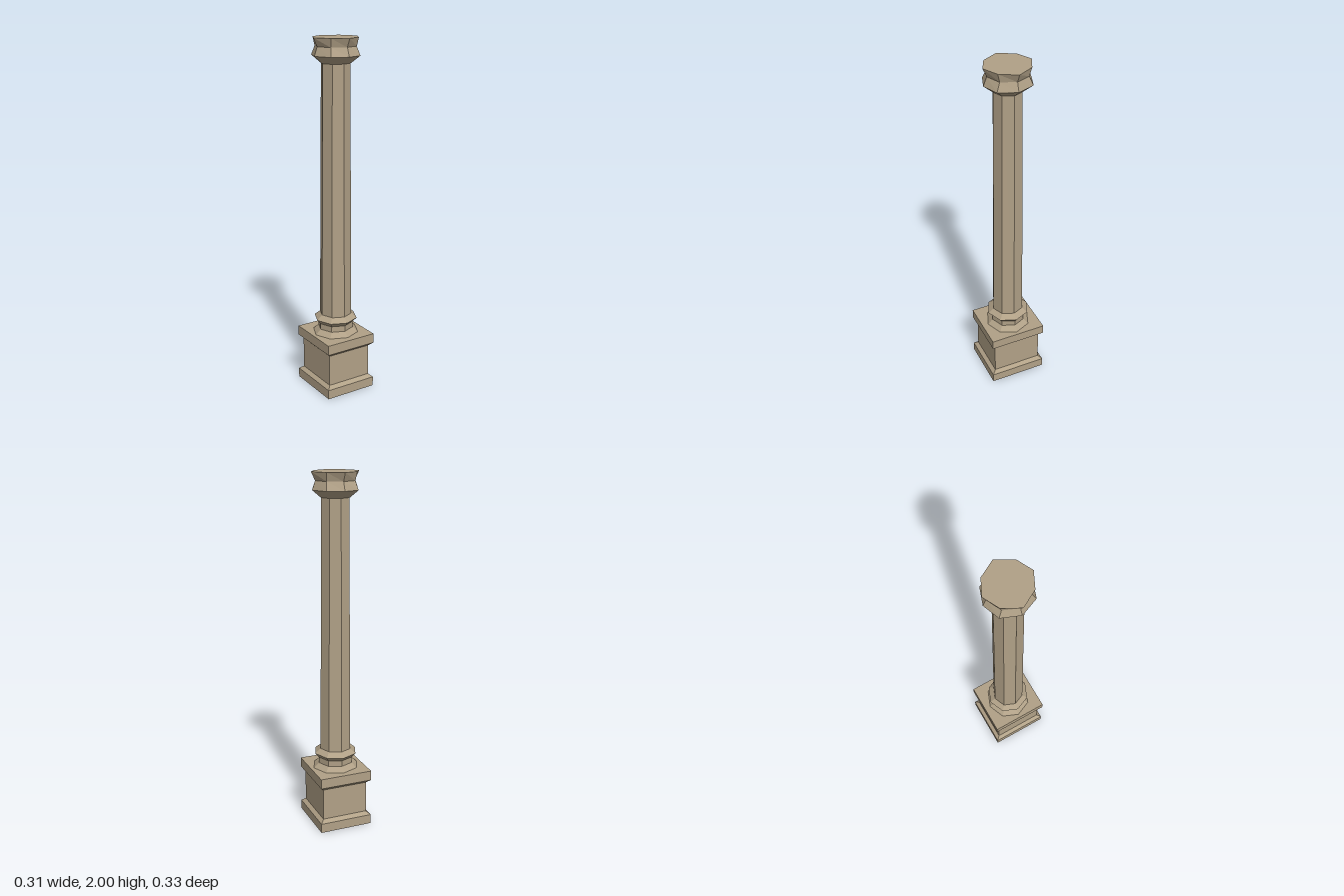
import * as THREE from 'three';

// Skins a stack of horizontal rings (arrays of [x, y, z]) and caps both ends.
function loft(rings) {
  const pos = [];
  const n = rings[0].length;
  const tri = (a, b, c) => pos.push(...a, ...b, ...c);
  for (let i = 0; i < rings.length - 1; i++) {
    for (let j = 0; j < n; j++) {
      const k = (j + 1) % n;
      const a = rings[i][j], b = rings[i][k], c = rings[i + 1][k], d = rings[i + 1][j];
      tri(a, c, b);
      tri(a, d, c);
    }
  }
  const bottom = rings[0], top = rings[rings.length - 1];
  for (let j = 1; j < n - 1; j++) {
    tri(bottom[0], bottom[j], bottom[j + 1]);
    tri(top[0], top[j + 1], top[j]);
  }
  const g = new THREE.BufferGeometry();
  g.setAttribute('position', new THREE.Float32BufferAttribute(pos, 3));
  g.computeVertexNormals();
  return g;
}

// Octagon with corners on the axes; the diagonal corners may differ in reach.
function octagon([y, x, z = x, dx = x * Math.SQRT1_2, dz = z * Math.SQRT1_2]) {
  return [[x, y, 0], [dx, y, dz], [0, y, z], [-dx, y, dz],
    [-x, y, 0], [-dx, y, -dz], [0, y, -z], [dx, y, -dz]];
}

function rectangle([y, x, z]) {
  return [[x, y, z], [-x, y, z], [-x, y, -z], [x, y, -z]];
}

export function createModel() {
  const model = new THREE.Group();
  model.name = 'column';
  const stone = new THREE.MeshStandardMaterial({ color: 0xb1a187, flatShading: true });
  stone.name = 'sandstone';

  const add = (name, section, profile) => {
    const mesh = new THREE.Mesh(loft(profile.map(section)), stone);
    mesh.name = name;
    model.add(mesh);
  };

  // Rectangular pedestal with chamfered foot and cap
  add('pedestal', rectangle, [
    [0, 0.153, 0.165], [0.054, 0.153, 0.165], [0.072, 0.132, 0.143],
    [0.254, 0.132, 0.143], [0.274, 0.153, 0.165], [0.33, 0.153, 0.165],
  ]);

  // Moulded collar under the shaft
  add('baseMoulding', octagon, [
    [0.33, 0.133, 0.129], [0.358, 0.102, 0.099], [0.392, 0.102, 0.099],
    [0.418, 0.124, 0.124], [0.445, 0.092, 0.09],
  ]);

  // Tapered octagonal shaft
  add('shaft', octagon, [[0.44, 0.092, 0.092], [1.87, 0.08, 0.079]]);

  // Flared capital with a pinched waist
  add('capital', octagon, [
    [1.865, 0.083, 0.082], [1.905, 0.131, 0.131, 0.091, 0.098],
    [1.953, 0.114, 0.112], [2, 0.137, 0.133, 0.086, 0.091],
  ]);

  return model;
}
